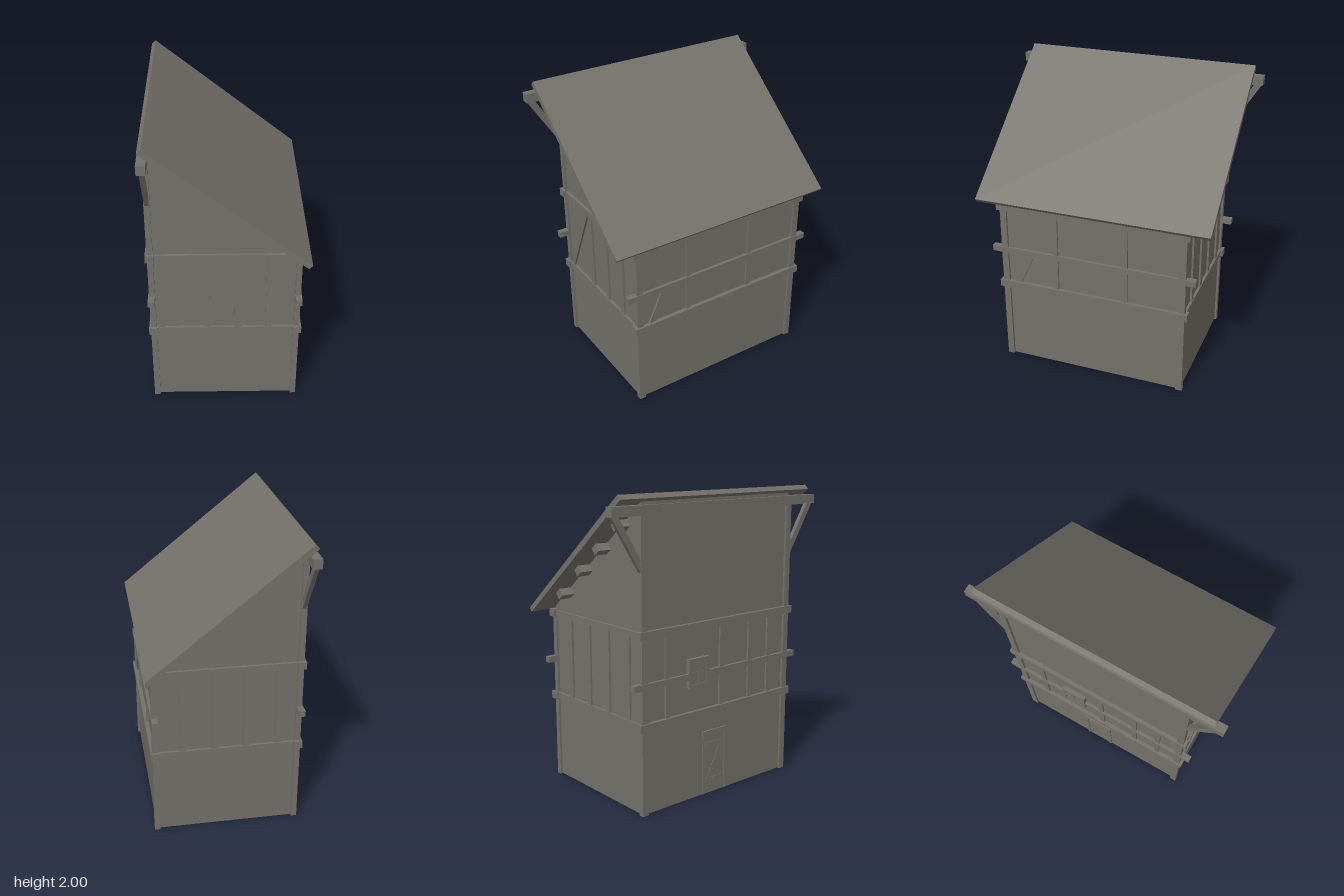
import * as THREE from 'three';

export function createModel() {
  const house = new THREE.Group();
  house.name = 'timberHouse';
  const timber = new THREE.MeshStandardMaterial({ color: 0x74716a });
  timber.name = 'weathered grey';

  // Box given by its limits on each axis
  function box(name, x0, x1, y0, y1, z0, z1) {
    const m = new THREE.Mesh(new THREE.BoxGeometry(x1 - x0, y1 - y0, z1 - z0), timber);
    m.name = name;
    m.position.set((x0 + x1) / 2, (y0 + y1) / 2, (z0 + z1) / 2);
    house.add(m);
    return m;
  }
  // Outline in x-y pushed out along z
  function slabXY(name, pts, z0, z1) {
    const shape = new THREE.Shape(pts.map(p => new THREE.Vector2(...p)));
    const g = new THREE.ExtrudeGeometry(shape, { depth: z1 - z0, bevelEnabled: false });
    g.translate(0, 0, z0);
    const m = new THREE.Mesh(g, timber);
    m.name = name;
    house.add(m);
  }
  // Outline in z-y pushed out along x
  function slabZY(name, pts, x0, x1) {
    const shape = new THREE.Shape(pts.map(([z, y]) => new THREE.Vector2(-z, y)));
    const g = new THREE.ExtrudeGeometry(shape, { depth: x1 - x0, bevelEnabled: false });
    g.rotateY(Math.PI / 2);
    g.translate(x0, 0, 0);
    const m = new THREE.Mesh(g, timber);
    m.name = name;
    house.add(m);
  }

  // Walls with a sloping top
  slabXY('walls', [[-0.485, 0.003], [0.452, 0.003], [0.452, 1.205], [-0.485, 1.957]], -0.63, 0.63);

  // Single-pitch roof and the purlins below it
  slabXY('roof', [[-0.508, 1.973], [0.487, 1.178], [0.51, 1.203], [-0.482, 2]], -0.8, 0.8);
  const pitch = Math.atan2(-0.797, 0.992);
  for (const [x, y] of [[-0.342, 1.808], [-0.145, 1.65], [0.05, 1.496], [0.267, 1.318]]) {
    const p = box('purlin', x - 0.026, x + 0.026, y - 0.026, y + 0.026, -0.72, 0.72);
    p.rotation.z = pitch;
  }

  // Corner posts, and the braces that carry the top beam
  for (const s of [-1, 1]) {
    const z0 = Math.min(s * 0.6, s * 0.645), z1 = Math.max(s * 0.6, s * 0.645);
    box('tallPost', -0.5, -0.462, 0, 1.9, z0, z1);
    box('shortPost', 0.43, 0.467, 0, 1.18, z0, z1);
    slabZY('beamBrace', [[s * 0.635, 1.525], [s * 0.855, 1.878], [s * 0.805, 1.878], [s * 0.635, 1.6]], -0.495, -0.468);
  }
  box('topBeam', -0.511, -0.455, 1.875, 1.935, -0.862, 0.862);

  // Long beams on both sides
  for (const [x0, x1] of [[-0.511, -0.455], [0.425, 0.48]]) {
    box('upperSideBeam', x0, x1, 1.135, 1.185, -0.665, 0.665);
    box('lowerSideBeam', x0, x1, 0.555, 0.605, -0.665, 0.665);
  }
  box('middleSideBeam', -0.506, -0.465, 0.82, 0.86, -0.71, 0.71);
  box('middleSideBeam', 0.432, 0.472, 0.82, 0.86, -0.71, 0.71);

  // Cross beams and studs on the front and back
  for (const [z0, z1] of [[0.6, 0.648], [-0.648, -0.6]]) {
    box('upperCrossBeam', -0.47, 0.44, 1.138, 1.177, z0, z1);
    box('lowerCrossBeam', -0.47, 0.44, 0.56, 0.6, z0, z1);
  }
  for (const x of [-0.133, 0.068, 0.268]) box('frontStud', x - 0.022, x + 0.022, 0.58, 1.15, 0.61, 0.643);
  for (const x of [-0.35, -0.14, 0.065, 0.27]) box('backStud', x - 0.022, x + 0.022, 0.58, 1.15, -0.643, -0.61);
  slabXY('frontBrace', [[-0.455, 0.6], [-0.41, 0.6], [-0.16, 1.138], [-0.205, 1.138]], 0.61, 0.643);

  // Studs and the short brace on the low side
  for (const z of [0.254, -0.234]) box('lowSideStud', 0.44, 0.465, 0.58, 1.15, z - 0.018, z + 0.018);
  slabZY('lowSideBrace', [[0.56, 0.6], [0.46, 0.825], [0.41, 0.825], [0.512, 0.6]], 0.44, 0.465);

  // Studs on the tall side
  for (const z of [-0.44, 0.02, 0.28, 0.46]) box('tallSideStud', -0.498, -0.47, 0.58, 1.15, z - 0.018, z + 0.018);

  // Window with a crossed frame, on the tall side
  const wx = -0.51, wz = -0.19, wy = 0.86;
  box('windowPane', wx + 0.002, -0.48, wy - 0.08, wy + 0.08, wz - 0.07, wz + 0.07);
  for (const s of [-1, 1]) {
    box('windowJamb', wx - 0.003, -0.48, wy - 0.095, wy + 0.095, wz + s * 0.075 - 0.01, wz + s * 0.075 + 0.01);
    box('windowRail', wx - 0.003, -0.48, wy + s * 0.085 - 0.01, wy + s * 0.085 + 0.01, wz - 0.085, wz + 0.085);
  }
  box('windowMullion', wx - 0.002, -0.48, wy - 0.08, wy + 0.08, wz - 0.007, wz + 0.007);
  box('windowBar', wx - 0.002, -0.48, wy - 0.007, wy + 0.007, wz - 0.07, wz + 0.07);

  // Plank door with ledges and a brace, on the tall side
  box('door', -0.489, -0.48, 0.004, 0.42, -0.12, 0.06);
  for (const z of [-0.125, 0.065]) box('doorJamb', -0.494, -0.48, 0.004, 0.43, z - 0.01, z + 0.01);
  box('doorLintel', -0.496, -0.48, 0.42, 0.442, -0.14, 0.08);
  for (const y of [0.08, 0.33]) box('doorLedge', -0.493, -0.48, y, y + 0.03, -0.11, 0.05);
  slabZY('doorBrace', [[-0.1, 0.11], [-0.07, 0.11], [0.04, 0.33], [0.01, 0.33]], -0.492, -0.48);

  // Make every outline face outward on mirrored pieces
  timber.side = THREE.DoubleSide;
  return house;
}
